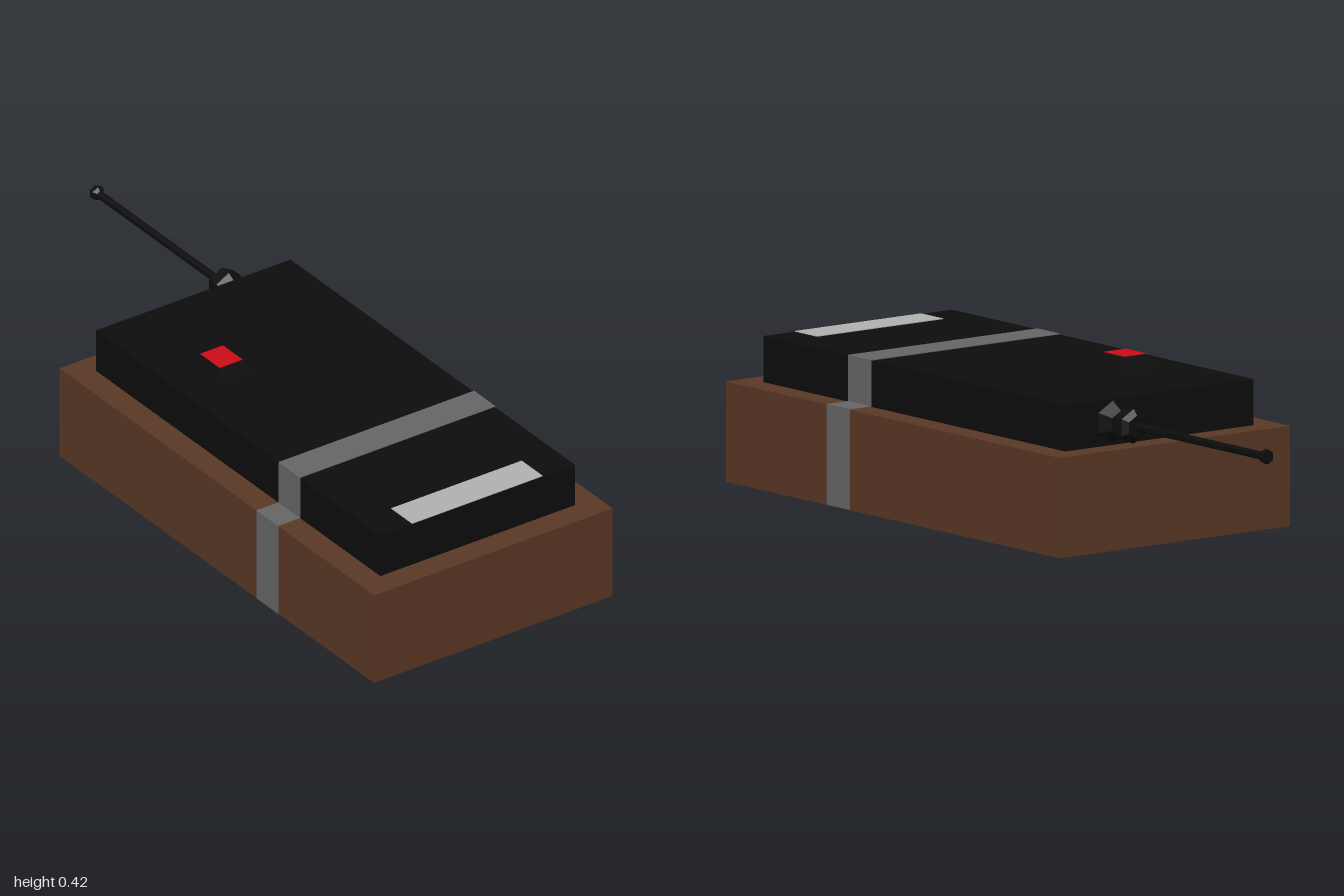
import * as THREE from 'three';

const material = (color) => new THREE.MeshStandardMaterial({ color, flatShading: true });

export function createModel() {
  const model = new THREE.Group();
  const brown = material(0x5a3824);
  const black = material(0x0d0d0d);
  const grey = material(0x666666);
  const pale = material(0xb2b2b2);
  const red = material(0xcc0c16);

  const add = (name, geometry, mat, x = 0, y = 0, z = 0) => {
    const mesh = new THREE.Mesh(geometry, mat);
    mesh.name = name;
    mesh.position.set(x, y, z);
    model.add(mesh);
    return mesh;
  };

  // Main block and the device lying on it
  add('block', new THREE.BoxGeometry(0.76, 0.265, 1.41), brown, 0, 0.1325, 0.295);
  add('deviceBody', new THREE.BoxGeometry(0.62, 0.122, 1.275), black, 0, 0.326, 0.2925);

  // Strap: a stepped outline hugging both boxes
  const t = 0.002;
  const half = [[0.38 + t, 0.001], [0.38 + t, 0.265 + t], [0.31 + t, 0.265 + t], [0.31 + t, 0.387 + t]];
  const outline = [...half, ...half.map(([x, y]) => [-x, y]).reverse()];
  const strap = new THREE.Shape(outline.map(([x, y]) => new THREE.Vector2(x, y)));
  add('strap', new THREE.ExtrudeGeometry(strap, { depth: 0.096, bevelEnabled: false }), grey, 0, 0, 0.475);

  // Label strip along the front edge
  add('label', new THREE.BoxGeometry(0.416, 0.003, 0.094), pale, 0, 0.3875, 0.882);

  // Button housing: a box whose top is pinched in, with a red cap
  const housing = new THREE.BoxGeometry(0.104, 0.037, 0.118);
  const p = housing.attributes.position;
  for (let i = 0; i < p.count; i++) {
    if (p.getY(i) > 0) p.setXYZ(i, p.getX(i) * 0.7, p.getY(i), p.getZ(i) * 0.74);
  }
  add('buttonHousing', housing, black, -0.157, 0.4045, 0.002);
  add('button', new THREE.BoxGeometry(0.0728, 0.002, 0.0873), red, -0.157, 0.4232, 0.002);

  // Antenna: six-sided joint, rod and flared tip pointing backwards
  const profile = [
    [0, 0], [0.058, 0], [0.033, 0.04], [0.046, 0.062], [0.046, 0.094], [0.03, 0.108],
    [0.011, 0.108], [0.011, 0.64], [0.02, 0.648], [0.02, 0.66], [0, 0.66],
  ].map(([r, d]) => new THREE.Vector2(r, d));
  const antenna = add('antenna', new THREE.LatheGeometry(profile, 6), black, 0.154, 0.327, -0.34);
  antenna.rotation.x = -Math.PI / 2;

  return model;
}
